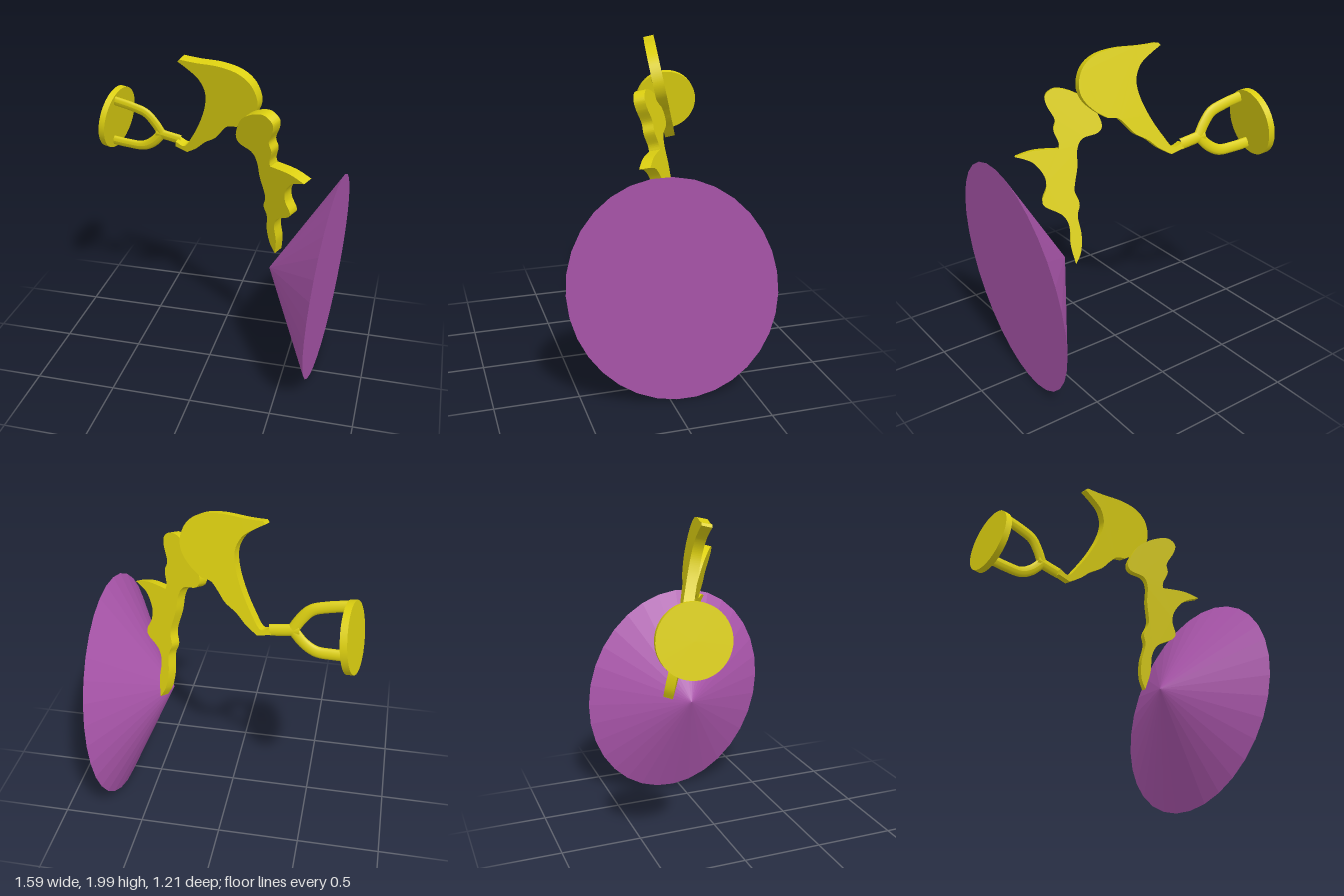
import * as THREE from 'three';
import { toCreasedNormals } from 'three/addons/utils/BufferGeometryUtils.js';

const V = (x, y, z = 0) => new THREE.Vector3(x, y, z);

// Outline made of smooth runs that meet at sharp corners
function outline(runs) {
  const shape = new THREE.Shape();
  shape.moveTo(...runs[0][0]);
  for (const run of runs) {
    const pts = run.slice(1).map((p) => new THREE.Vector2(...p));
    if (pts.length === 1) shape.lineTo(pts[0].x, pts[0].y);
    else shape.splineThru(pts);
  }
  shape.closePath();
  return shape;
}

// Extruded plate laid on the tilted plane z = z0 + a * (x - x0) + b * (y - y0)
function plate(runs, thickness, { x0, y0, z0, a, b }) {
  const geo = new THREE.ExtrudeGeometry(outline(runs), {
    depth: thickness, bevelEnabled: false, curveSegments: 36,
  });
  const n = V(-a, -b, 1).normalize();
  const pos = geo.attributes.position;
  for (let i = 0; i < pos.count; i++) {
    const x = pos.getX(i), y = pos.getY(i), t = pos.getZ(i) - thickness / 2;
    pos.setXYZ(i, x + n.x * t, y + n.y * t, z0 + a * (x - x0) + b * (y - y0) + n.z * t);
  }
  return toCreasedNormals(geo, 0.6);
}

// Flattened rod following a path drawn in the stirrup's tilted plane
function rod(points, radius) {
  const curve = new THREE.CatmullRomCurve3(points.map((p) => V(...p)));
  const geo = new THREE.TubeGeometry(curve, 28, radius, 12);
  const pos = geo.attributes.position;
  for (let i = 0; i < pos.count; i++) {
    const x = pos.getX(i), y = pos.getY(i);
    pos.setZ(i, -0.304 + 0.13 * (x + 0.4) + 0.16 * (y - 1.44) + pos.getZ(i) * 0.55);
  }
  geo.computeVertexNormals();
  return geo;
}

// Tilted elliptical cone with a flat base
function membraneGeometry() {
  const apex = V(0.38, 0.73, -0.005), centre = V(0.74, 0.705, 0);
  const tilt = THREE.MathUtils.degToRad(22), sides = 32;
  const rim = (i) => {
    const t = (i / sides) * Math.PI * 2;
    const u = 0.711 * Math.cos(t), w = 0.587 * Math.sin(t);
    const y = u * Math.cos(tilt) - w * Math.sin(tilt);
    const z = u * Math.sin(tilt) + w * Math.cos(tilt);
    return V(centre.x + 0.079 * y - 0.063 * z, centre.y + y, z);
  };
  const pts = [];
  for (let i = 0; i < sides; i++) {
    pts.push(apex, rim(i + 1), rim(i), centre, rim(i), rim(i + 1));
  }
  const geo = new THREE.BufferGeometry().setFromPoints(pts);
  geo.computeVertexNormals();
  return geo;
}

export function createModel() {
  const bone = new THREE.MeshStandardMaterial({ color: 0xdccf10 });
  bone.name = 'boneYellow';
  const skin = new THREE.MeshStandardMaterial({ color: 0xab56ac });
  skin.name = 'membranePurple';

  const model = new THREE.Group();
  model.name = 'earBones';
  const add = (parent, name, geo, mat) => {
    const mesh = new THREE.Mesh(geo, mat);
    mesh.name = name;
    parent.add(mesh);
    return mesh;
  };

  add(model, 'eardrum', membraneGeometry(), skin);

  // Hammer: knobbly head, side spike and long handle
  add(model, 'hammer', plate([
    [[0.39, 1.435], [0.515, 1.43], [0.61, 1.4]],
    [[0.61, 1.4], [0.53, 1.365], [0.485, 1.29], [0.485, 1.22], [0.515, 1.15], [0.505, 1.11],
      [0.43, 1.06], [0.405, 0.99], [0.415, 0.88], [0.405, 0.77]],
    [[0.405, 0.77], [0.37, 0.84], [0.352, 0.94], [0.355, 1.05], [0.335, 1.12], [0.348, 1.2],
      [0.315, 1.33], [0.3, 1.43], [0.265, 1.49], [0.185, 1.52], [0.16, 1.57], [0.185, 1.66],
      [0.22, 1.71], [0.29, 1.755], [0.36, 1.77], [0.41, 1.735], [0.412, 1.68], [0.385, 1.6],
      [0.4, 1.54], [0.385, 1.47], [0.39, 1.435]],
  ], 0.065, { x0: 0.4, y0: 1.75, z0: 0.11, a: 0.6, b: 0.28 }), bone);

  // Anvil: broad body with a short pointed arm and a long thin arm
  add(model, 'anvil', plate([
    [[-0.2, 1.99], [-0.1, 1.985], [0.05, 1.985], [0.17, 1.96], [0.25, 1.9], [0.287, 1.81],
      [0.275, 1.73], [0.22, 1.66], [0.15, 1.61]],
    [[0.15, 1.61], [0.09, 1.6], [0.05, 1.56], [0, 1.5], [-0.07, 1.455], [-0.13, 1.4],
      [-0.2, 1.355]],
    [[-0.2, 1.355], [-0.28, 1.38]],
    [[-0.28, 1.38], [-0.275, 1.415]],
    [[-0.275, 1.415], [-0.215, 1.395], [-0.16, 1.47], [-0.1, 1.58], [-0.055, 1.7],
      [-0.045, 1.8], [-0.08, 1.88], [-0.14, 1.93], [-0.212, 1.975]],
    [[-0.212, 1.975], [-0.2, 1.99]],
  ], 0.063, { x0: 0.05, y0: 1.99, z0: -0.055, a: 0.27, b: 0.23 }), bone);

  // Stirrup: round footplate, two arms and a neck
  const stirrup = new THREE.Group();
  stirrup.name = 'stirrup';
  model.add(stirrup);
  const foot = add(stirrup, 'footplate', new THREE.CylinderGeometry(0.203, 0.203, 0.04, 40), bone);
  foot.position.set(-0.727, 1.48, -0.405);
  foot.quaternion.setFromUnitVectors(V(0, 1, 0), V(1, -0.15, 0.16).normalize());
  add(stirrup, 'upperArm', rod([
    [-0.7, 1.618], [-0.58, 1.592], [-0.49, 1.56], [-0.435, 1.5], [-0.395, 1.435],
  ], 0.033), bone);
  add(stirrup, 'lowerArm', rod([
    [-0.75, 1.333], [-0.63, 1.323], [-0.53, 1.324], [-0.46, 1.36], [-0.395, 1.425],
  ], 0.033), bone);
  add(stirrup, 'neck', rod([[-0.43, 1.435], [-0.35, 1.42], [-0.262, 1.405]], 0.034), bone);

  return model;
}
